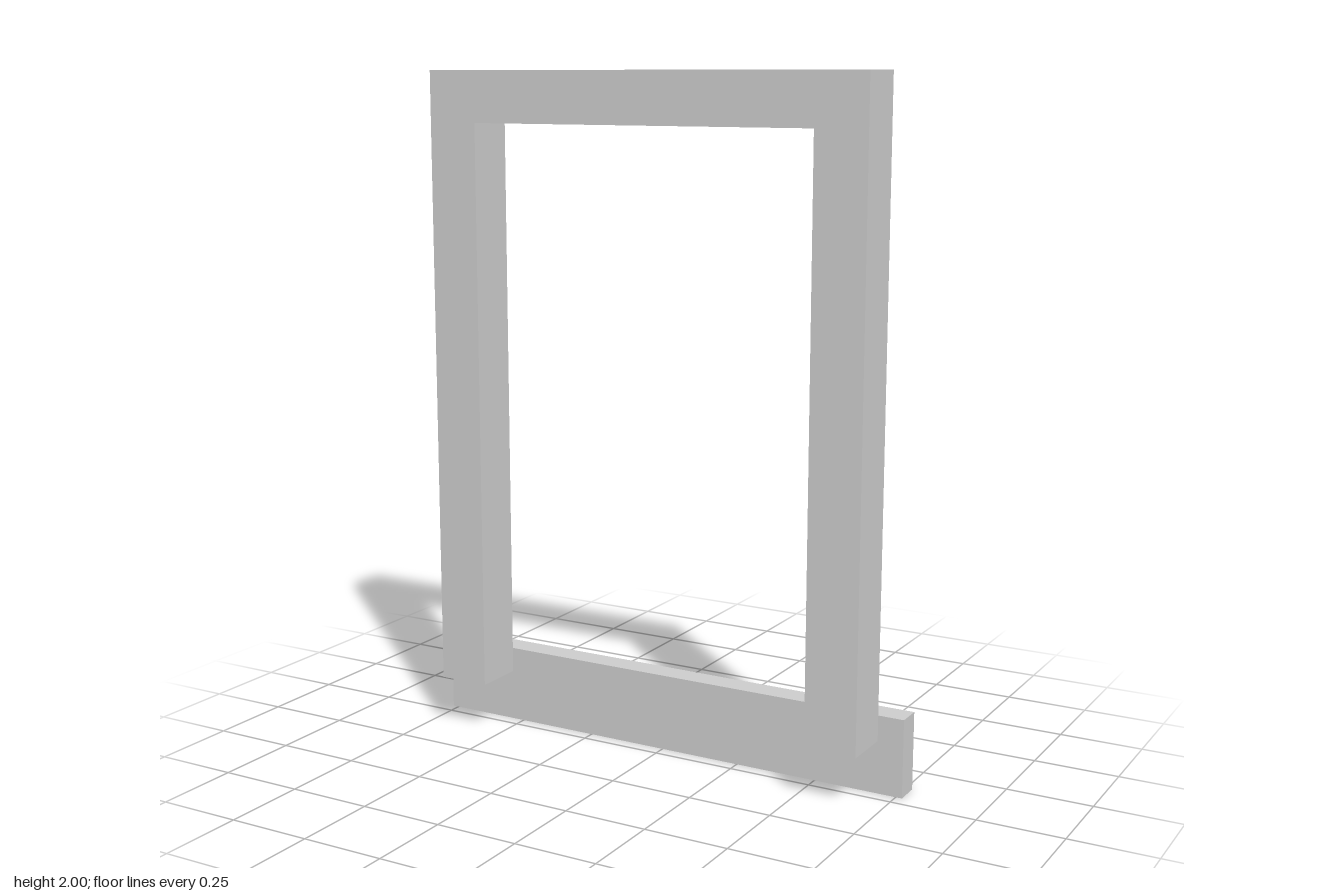
import * as THREE from 'three';

const material = new THREE.MeshStandardMaterial({ color: 0xcccccc, flatShading: true });

export function createModel() {
  const model = new THREE.Group();
  model.name = 'openFrame';

  // Frame: two legs joined by a header, one continuous U-shaped piece
  const outer = 0.692, inner = 0.537, bottom = 0.155, top = 2, lintel = 1.85;
  const outline = new THREE.Shape([
    [-outer, bottom], [-inner, bottom], [-inner, lintel], [inner, lintel],
    [inner, bottom], [outer, bottom], [outer, top], [-outer, top],
  ].map(([x, y]) => new THREE.Vector2(x, y)));
  const frameGeometry = new THREE.ExtrudeGeometry(outline, { depth: 0.154, bevelEnabled: false });
  frameGeometry.translate(0, 0, -0.039);
  const frame = new THREE.Mesh(frameGeometry, material);
  frame.name = 'frame';

  // Board across the back of the feet
  const board = new THREE.Mesh(new THREE.BoxGeometry(1.538, 0.23, 0.076), material);
  board.name = 'bottomBoard';
  board.position.set(0, 0.115, -0.077);

  model.add(frame, board);
  return model;
}
